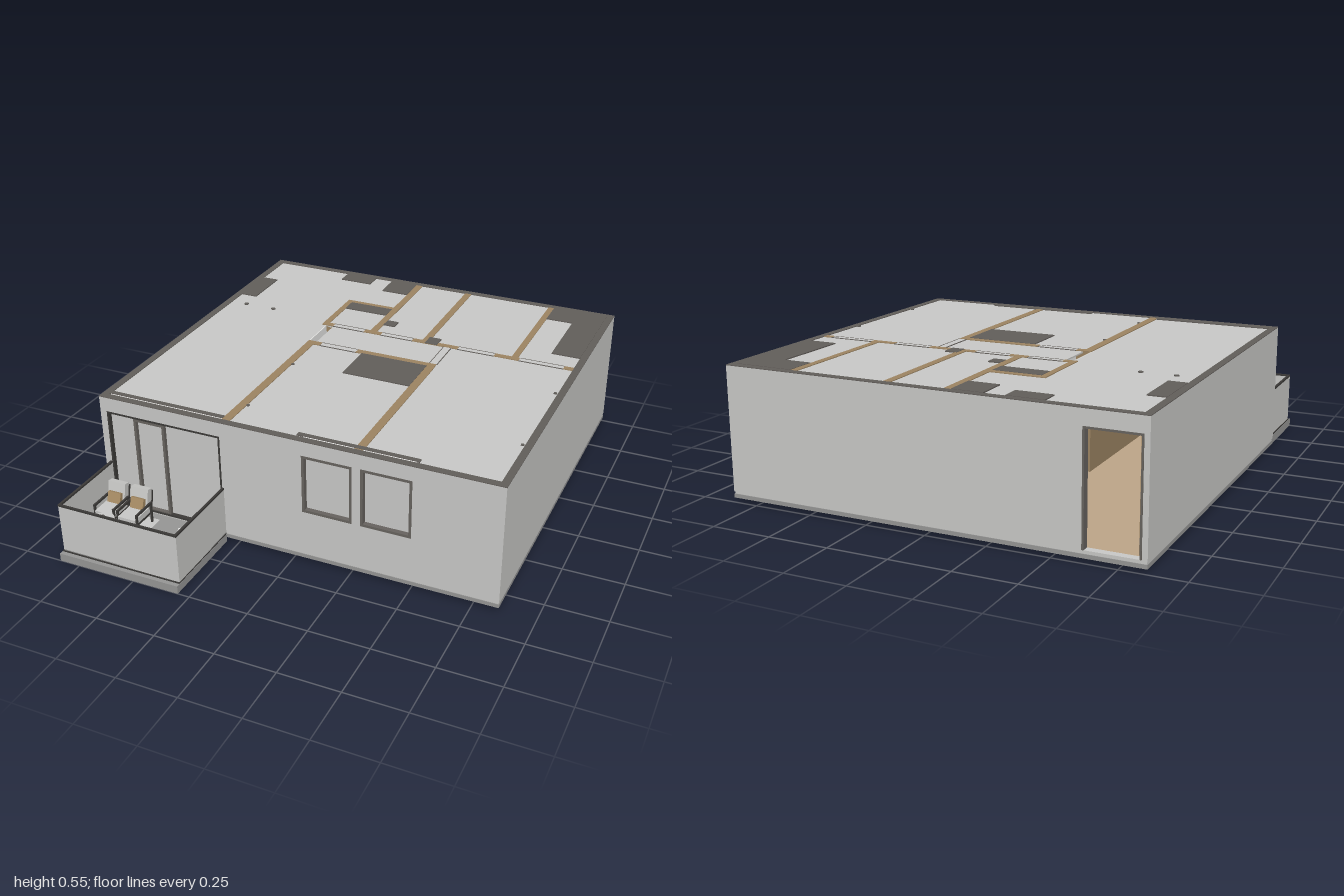
import * as THREE from 'three';

const mat = (name, color) => {
  const m = new THREE.MeshStandardMaterial({ color });
  m.name = name;
  return m;
};

export function createModel() {
  const plaster = mat('plaster', 0xc9c9c7);
  const cap = mat('wallCap', 0x625e5a);
  const tan = mat('partition', 0x9c8462);
  const wood = mat('woodFloor', 0xbda588);
  const concrete = mat('concrete', 0x969695);
  const frame = mat('darkFrame', 0x3c3a38);
  const white = mat('white', 0xeeeeec);
  const trim = mat('windowTrim', 0x67635f);
  const brown = mat('cushion', 0xa58a62);

  const model = new THREE.Group();
  const group = (name, parent = model) => {
    const g = new THREE.Group();
    g.name = name;
    parent.add(g);
    return g;
  };
  const add = (parent, name, geo, m, x = 0, y = 0, z = 0) => {
    const mesh = new THREE.Mesh(geo, m);
    mesh.name = name;
    mesh.position.set(x, y, z);
    parent.add(mesh);
    return mesh;
  };
  // Box given by its limits on each axis
  const box = (parent, name, m, x1, x2, y1, y2, z1, z2) =>
    add(parent, name, new THREE.BoxGeometry(x2 - x1, y2 - y1, z2 - z1), m,
      (x1 + x2) / 2, (y1 + y2) / 2, (z1 + z2) / 2);
  const rect = (T, x1, x2, y1, y2) => new T([[x1, y1], [x2, y1], [x2, y2], [x1, y2]]
    .map(p => new THREE.Vector2(...p)));
  // Flat rectangular frame in the xy plane
  const frameRect = (parent, name, m, x1, x2, y1, y2, z1, z2, t) => {
    const s = rect(THREE.Shape, x1, x2, y1, y2);
    s.holes.push(rect(THREE.Path, x1 + t, x2 - t, y1 + t, y2 - t));
    add(parent, name, new THREE.ExtrudeGeometry(s, { depth: z2 - z1, bevelEnabled: false }), m, 0, 0, z1);
  };

  const X = 0.855, B = -0.998, F = 0.612, T = 0.03, Y0 = 0.045, Y1 = 0.549;

  // Base slab and floor
  box(model, 'baseSlab', concrete, -X, X, 0.02, 0.036, B, F);
  box(model, 'floorEdge', plaster, -X + 0.003, X - 0.003, 0.036, Y0, B + 0.003, F - 0.003);
  box(model, 'woodFloor', wood, -X + T, X - T, Y0, 0.05, B + T, F - T);

  // Outer walls, front and back pierced by openings
  const shell = group('outerWalls');
  const windows = [[0.045, 0.255], [0.29, 0.498]];
  const wall = (name, z, openings) => {
    const s = rect(THREE.Shape, -X, X, Y0, Y1);
    for (const o of openings) s.holes.push(rect(THREE.Path, ...o));
    add(shell, name, new THREE.ExtrudeGeometry(s, { depth: T, bevelEnabled: false }), plaster, 0, 0, z);
  };
  wall('frontWall', F - T, [[-0.825, -0.308, 0.05, 0.485], ...windows.map(([a, b]) => [a, b, 0.235, 0.488])]);
  wall('backWall', B, [[-0.83, -0.62, 0.05, 0.485]]);
  for (const s of [-1, 1]) {
    const [a, b] = s < 0 ? [-X, -X + T] : [X - T, X];
    box(shell, 'sideWall', plaster, a, b, Y0, Y1, B + T, F - T);
    box(shell, 'sideWallCap', cap, a, b, Y1, 0.552, B, F);
  }
  box(shell, 'backWallCap', cap, -X + T, X - T, Y1, 0.552, B, B + T);
  box(shell, 'frontWallCap', cap, -X + T, X - T, Y1, 0.552, F - T, F);

  // Front windows
  for (const [a, b] of windows) {
    const w = group('window');
    frameRect(w, 'windowFrame', trim, a, b, 0.235, 0.488, F - 0.025, F + 0.001, 0.011);
    box(w, 'windowPane', plaster, a + 0.01, b - 0.01, 0.245, 0.478, F - 0.025, F - 0.019);
  }

  // Glazed balcony doors
  const glazed = group('balconyDoors');
  frameRect(glazed, 'doorFrame', frame, -0.825, -0.308, 0.05, 0.488, F - 0.025, F + 0.001, 0.008);
  box(glazed, 'doorPane', plaster, -0.82, -0.312, 0.055, 0.482, F - 0.024, F - 0.018);
  frameRect(glazed, 'doorLeafFrame', trim, -0.703, -0.562, 0.052, 0.478, F - 0.018, F - 0.002, 0.011);

  // Entrance door, standing open against the side wall
  const entry = group('entranceDoor');
  const jamb = [[-0.834, -0.826, 0.05, 0.488], [-0.624, -0.616, 0.05, 0.488], [-0.834, -0.616, 0.48, 0.488]];
  for (const [a, b, c, d] of jamb) box(entry, 'doorJamb', trim, a, b, c, d, B - 0.002, B + T);
  box(entry, 'doorLeaf', tan, -0.825, -0.813, 0.052, 0.475, B + T, B + T + 0.2);
  for (let i = 1; i < 5; i++) {
    const y = 0.05 + i * 0.085;
    box(entry, 'doorGroove', frame, -0.813, -0.812, y, y + 0.003, B + 0.05, B + 0.21);
  }

  // Ceiling over all the rooms, open at the passage
  const ceiling = rect(THREE.Shape, -X + T, X - T, -F + T, -B - T);
  ceiling.holes.push(rect(THREE.Path, -0.31, -0.275, 0.17, 0.375));
  const ceilingGeo = new THREE.ExtrudeGeometry(ceiling, { depth: 0.006, bevelEnabled: false });
  ceilingGeo.rotateX(-Math.PI / 2);
  add(model, 'ceiling', ceilingGeo, plaster, 0, 0.543, 0);

  // Partition walls: x1, x2, z1, z2
  const inner = group('partitions');
  [
    [-0.103, -0.073, -0.968, -0.402], [0.145, 0.175, -0.968, -0.402], [0.553, 0.58, -0.968, -0.402],
    [-0.33, -0.103, -0.675, -0.65], [-0.33, -0.305, -0.65, -0.402],
    [-0.33, -0.275, -0.402, -0.375], [-0.125, -0.045, -0.402, -0.375], [0.105, 0.315, -0.402, -0.375],
    [0.48, 0.59, -0.402, -0.375], [0.785, 0.825, -0.402, -0.375],
    [-0.31, -0.245, -0.2, -0.17], [-0.075, 0.285, -0.2, -0.17],
    [-0.31, -0.275, -0.17, 0.582], [0.253, 0.287, -0.17, 0.582],
  ].forEach(([a, b, c, d]) => box(inner, 'partition', tan, a, b, 0.05, 0.552, c, d));

  // Lintels over the inner doorways
  [
    [-0.275, -0.125, -0.402, -0.375], [-0.045, 0.105, -0.402, -0.375], [0.315, 0.48, -0.402, -0.375],
    [0.59, 0.785, -0.402, -0.375], [-0.245, -0.075, -0.2, -0.17], [0.253, 0.287, -0.375, -0.2],
  ].forEach(([a, b, c, d]) => {
    box(inner, 'lintel', plaster, a, b, 0.48, 0.551, c, d);
    const alongX = b - a > d - c;
    for (const e of [0, 1]) {
      if (alongX) box(inner, 'lintelEdge', trim, a, b, 0.549, 0.552, (e ? d : c) - 0.0015, (e ? d : c) + 0.0015);
      else box(inner, 'lintelEdge', trim, (e ? b : a) - 0.0015, (e ? b : a) + 0.0015, 0.549, 0.552, c, d);
    }
  });
  box(inner, 'passagePanel', white, -0.311, -0.307, 0.4, 0.549, -0.375, -0.17);

  // Full height shafts, closets and curtain boxes
  const shafts = group('shafts');
  [
    [-0.465, -0.315, -0.968, -0.89], [-0.23, -0.103, -0.968, -0.84], [-0.825, -0.75, -0.755, -0.535],
    [-0.305, -0.103, -0.65, -0.58], [-0.073, -0.02, -0.53, -0.48], [0.165, 0.22, -0.44, -0.375],
    [-0.045, 0.253, -0.17, 0.03], [0.58, 0.825, -0.968, -0.84], [0.70, 0.825, -0.84, -0.50],
    [-0.825, -0.31, 0.555, 0.576], [0.01, 0.51, 0.555, 0.576],
  ].forEach(([a, b, c, d], i) => {
    const bottom = i > 8 ? 0.5 : 0.05;
    box(shafts, 'shaft', plaster, a, b, bottom, 0.548, c, d);
    box(shafts, 'shaftCap', cap, a, b, 0.548, 0.5535, c, d);
  });
  for (const [a, b] of [[-0.82, -0.31], [0.04, 0.5]])
    box(shafts, 'curtainRail', white, a, b, 0.547, 0.5515, 0.576, 0.582);

  // Lamp mounts
  [[-0.75, -0.44, 0.01], [-0.61, -0.44, 0.01], [-0.27, 0.04, 0.007], [-0.27, 0.44, 0.007],
    [0.815, -0.15, 0.007], [0.815, 0.3, 0.007]].forEach(([x, z, r]) =>
    add(model, 'lampMount', new THREE.CylinderGeometry(r, r, 0.006, 12), cap, x, 0.55, z));

  // Balcony slab, parapet and handrail
  const balcony = group('balcony');
  const L = -0.832, R = -0.302, Z = 0.978;
  box(balcony, 'balconySlab', concrete, L - 0.006, R + 0.002, 0.002, 0.036, F + 0.002, 1.0);
  box(balcony, 'balconyFloor', concrete, L, R, 0.036, 0.045, F, Z);
  box(balcony, 'slabLine', frame, L - 0.003, R + 0.001, 0.036, 0.041, F + 0.002, Z + 0.004);
  box(balcony, 'balconyRug', plaster, -0.826, -0.59, 0.045, 0.05, 0.652, 0.94);
  [[L, L + 0.008, F, Z], [R - 0.008, R, F, Z], [L + 0.008, R - 0.008, Z - 0.008, Z]].forEach(([a, b, c, d]) => {
    box(balcony, 'parapet', plaster, a, b, 0.041, 0.247, c, d);
    box(balcony, 'handrail', frame, a - 0.001, b + 0.001, 0.247, 0.255, c, d + 0.001);
  });

  // Two armchairs facing outwards
  for (const x of [-0.767, -0.658]) {
    const c = group('armchair', balcony);
    c.position.set(x, 0.05, 0.72);
    for (const s of [-1, 1]) {
      box(c, 'armrest', frame, s * 0.045 - 0.004, s * 0.045 + 0.004, 0.085, 0.094, -0.05, 0.065);
      for (const z of [-0.045, 0.06])
        box(c, 'leg', frame, s * 0.045 - 0.004, s * 0.045 + 0.004, 0, 0.085, z - 0.004, z + 0.004);
    }
    box(c, 'seatFrame', frame, -0.041, 0.041, 0.035, 0.045, -0.05, 0.065);
    box(c, 'seatCushion', plaster, -0.04, 0.04, 0.045, 0.07, -0.045, 0.068);
    box(c, 'backCushion', plaster, -0.04, 0.04, 0.07, 0.15, -0.062, -0.034).rotation.x = -0.2;
    box(c, 'backFrame', frame, -0.041, 0.041, 0.04, 0.135, -0.068, -0.062).rotation.x = -0.2;
    box(c, 'pillow', brown, -0.03, 0.03, 0.07, 0.115, -0.03, -0.012).rotation.x = -0.35;
  }

  // Round table
  const table = group('roundTable', balcony);
  table.position.set(-0.713, 0.05, 0.865);
  add(table, 'tableTop', new THREE.CylinderGeometry(0.046, 0.046, 0.006, 32), plaster, 0, 0.1, 0);
  add(table, 'tableRim', new THREE.TorusGeometry(0.046, 0.002, 6, 32).rotateX(Math.PI / 2), trim, 0, 0.1, 0);
  add(table, 'tableStem', new THREE.CylinderGeometry(0.006, 0.006, 0.1, 12), frame, 0, 0.05, 0);
  add(table, 'tableFoot', new THREE.CylinderGeometry(0.03, 0.03, 0.005, 24), frame, 0, 0.003, 0);
  add(table, 'tableOrnament', new THREE.CylinderGeometry(0.008, 0.008, 0.015, 12), trim, 0, 0.11, 0);

  // Planter with mixed leaves
  const planter = group('planter', balcony);
  box(planter, 'planterBox', trim, -0.375, -0.315, 0.045, 0.13, 0.80, 0.96);
  let seed = 7;
  const rnd = () => (seed = (seed * 16807) % 2147483647) / 2147483647;
  const leaf = new THREE.OctahedronGeometry(0.007);
  for (let i = 0; i < 110; i++) {
    const m = add(planter, 'leaf', leaf, [white, frame, brown, plaster][i % 4],
      -0.37 + rnd() * 0.05, 0.13 + rnd() * 0.06, 0.805 + rnd() * 0.15);
    m.scale.set(0.6 + rnd() * 0.5, 1.4, 0.5 + rnd() * 0.5);
    m.rotation.set(rnd() * 2, rnd() * 3, rnd() * 2);
  }
  return model;
}
